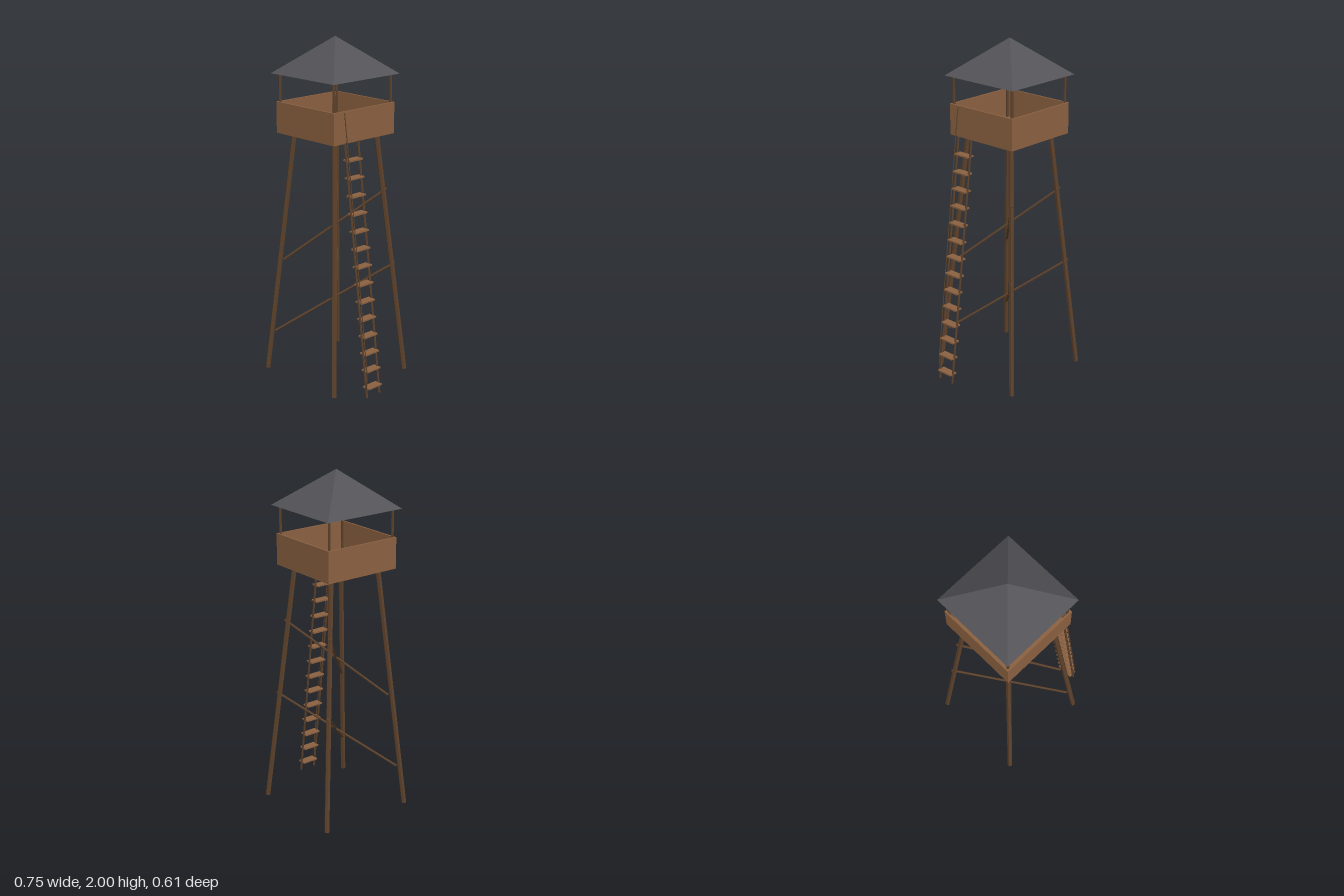
import * as THREE from 'three';

const CX = -0.07; // tower axis, offset to leave room for the ladder

function material(name, color) {
  const m = new THREE.MeshStandardMaterial({ color });
  m.name = name;
  return m;
}

export function createModel() {
  const plank = material('plankBrown', 0x8b6141);
  const timber = material('darkTimber', 0x5c412b);
  const slate = material('slateGrey', 0x545358);

  const model = new THREE.Group();
  model.name = 'watchtower';
  const tower = new THREE.Group();
  tower.name = 'tower';
  tower.position.x = CX;
  const ladder = new THREE.Group();
  ladder.name = 'ladder';
  model.add(tower, ladder);

  function add(parent, name, geometry, mat, x = 0, y = 0, z = 0) {
    const mesh = new THREE.Mesh(geometry, mat);
    mesh.name = name;
    mesh.position.set(x, y, z);
    parent.add(mesh);
    return mesh;
  }

  // faceted pole between two points
  function pole(parent, name, a, b, radius, sides = 6) {
    const start = new THREE.Vector3(...a);
    const dir = new THREE.Vector3(...b).sub(start);
    const length = dir.length();
    const geometry = new THREE.CylinderGeometry(radius, radius, length, sides).toNonIndexed();
    geometry.computeVertexNormals();
    const mesh = add(parent, name, geometry, timber);
    mesh.position.copy(start).addScaledVector(dir, 0.5);
    mesh.quaternion.setFromUnitVectors(new THREE.Vector3(0, 1, 0), dir.normalize());
  }

  // splayed legs and roof posts at the four corners
  for (const sx of [-1, 1]) {
    for (const sz of [-1, 1]) {
      pole(tower, 'leg', [sx * 0.29, 0.002, sz * 0.29], [sx * 0.164, 1.455, sz * 0.164], 0.015);
      pole(tower, 'roofPost', [sx * 0.219, 1.455, sz * 0.219], [sx * 0.219, 1.795, sz * 0.219], 0.008);
    }
    // braces cross the middle, from each front leg up to the opposite back leg
    pole(tower, 'lowerBrace', [sx * 0.255, 0.24, 0.255], [-sx * 0.245, 0.675, -0.245], 0.007);
    pole(tower, 'upperBrace', [sx * 0.215, 0.69, 0.215], [-sx * 0.208, 1.125, -0.208], 0.007);
  }

  // open cabin: floor and four thin walls
  const half = 0.235, wall = 0.01, bottom = 1.45, height = 0.18;
  add(tower, 'floor', new THREE.BoxGeometry(2 * half, 0.012, 2 * half), plank, 0, bottom + 0.006, 0);
  for (const s of [-1, 1]) {
    const y = bottom + height / 2, offset = s * (half - wall / 2);
    add(tower, 'cabinWall', new THREE.BoxGeometry(2 * half, height, wall), plank, 0, y, offset);
    add(tower, 'cabinSideWall', new THREE.BoxGeometry(wall, height, 2 * (half - wall)), plank, offset, y, 0);
  }

  // pyramid roof
  const roof = new THREE.ConeGeometry(0.255 * Math.SQRT2, 0.21, 4).toNonIndexed();
  roof.rotateY(Math.PI / 4);
  roof.computeVertexNormals();
  add(tower, 'roof', roof, slate, 0, 1.895, 0);

  // ladder rails, treads and one handrail
  const foot = 0.355, top = 0.175, topY = 1.455;
  for (const z of [0.06, 0.161]) {
    pole(ladder, 'ladderRail', [foot, 0.004, z], [top, topY, z], 0.0065);
  }
  for (let i = 0; i < 14; i++) {
    const y = 0.06 + i * 0.1;
    add(ladder, 'tread', new THREE.BoxGeometry(0.05, 0.009, 0.104), plank,
      foot + (top - foot) * (y / topY), y, 0.11);
  }
  pole(ladder, 'handrail', [foot, 0.17, 0.163], [top, 1.622, 0.163], 0.003);
  pole(ladder, 'handrailPost', [foot, 0.003, 0.163], [foot, 0.172, 0.163], 0.003);

  return model;
}
